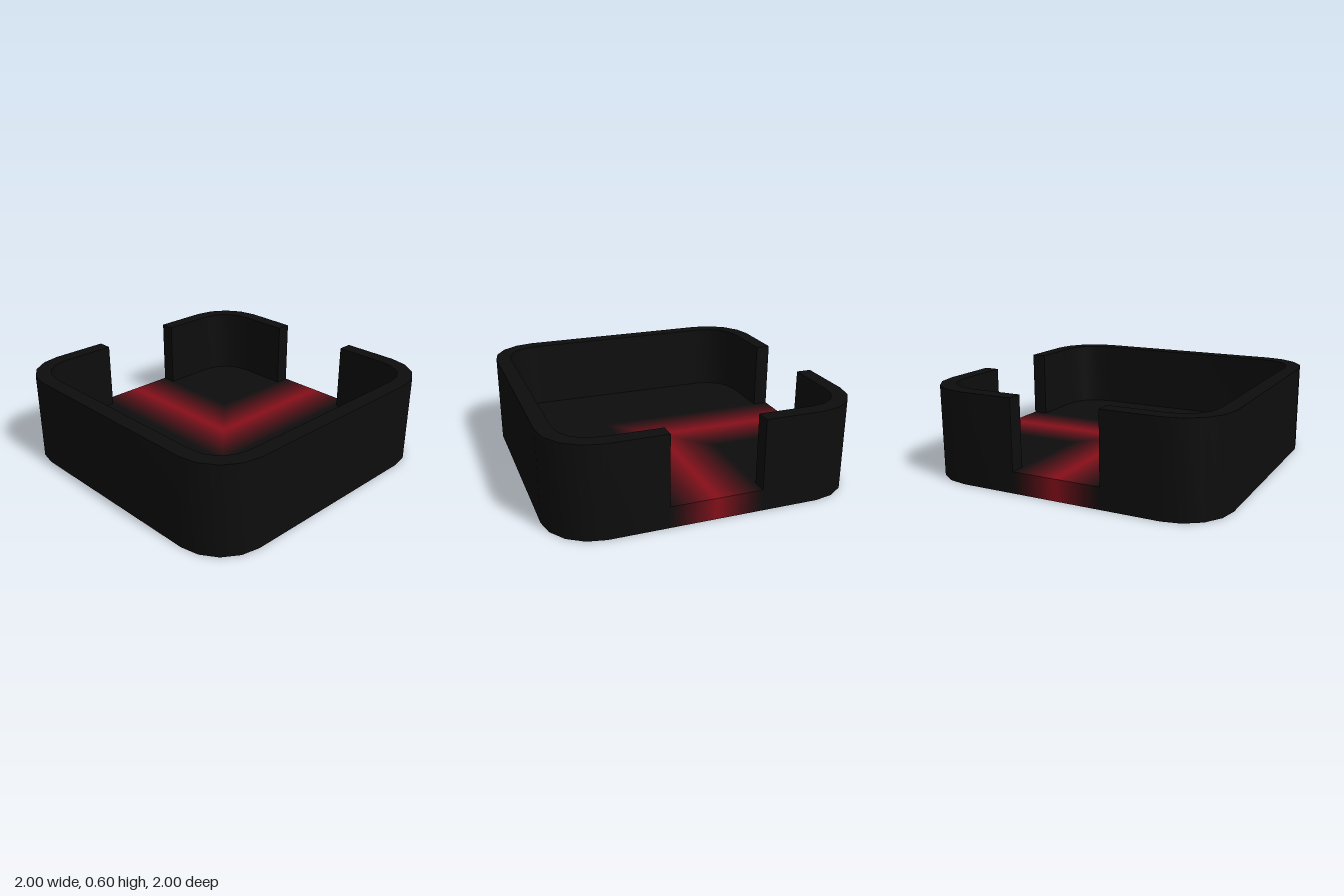
import * as THREE from 'three';
import { mergeGeometries, toCreasedNormals } from 'three/addons/utils/BufferGeometryUtils.js';

const HEIGHT = 0.6, FLOOR = 0.14, INNER = 0.9, GAP = 0.3;
const BLACK = [0x0d, 0x0d, 0x0d], RED = [0x8a, 0x0f, 0x1a];

// Corner profiles of the tray; plan coordinates are (x, -z)
const OUTER_CORNER = [[1, 0.68], [0.975, 0.8], [0.905, 0.905], [0.8, 0.975], [0.68, 1]];
const INNER_CORNER = [[0.9, 0.66], [0.882, 0.757], [0.834, 0.834], [0.757, 0.882], [0.66, 0.9]];

// Corner points turned by a number of quarter turns
function corner(points, turns) {
  let p = points;
  for (let i = 0; i < turns; i++) p = p.map(([x, y]) => [-y, x]);
  return p;
}

const toShape = (pts) => new THREE.Shape(pts.map(([x, y]) => new THREE.Vector2(x, y)));

// Mix of black and red, 0 to 1
function material(t) {
  const c = BLACK.map((b, i) => (b + (RED[i] - b) * t) / 255);
  const color = new THREE.Color().setRGB(c[0], c[1], c[2], THREE.SRGBColorSpace);
  return new THREE.MeshStandardMaterial({ color, side: THREE.DoubleSide });
}

function flat(pts) {
  return new THREE.ShapeGeometry(toShape(pts)).rotateX(-Math.PI / 2).translate(0, FLOOR, 0);
}

export function createModel() {
  const model = new THREE.Group();
  const black = material(0);
  const add = (name, geometry, mat = black) => {
    const mesh = new THREE.Mesh(geometry, mat);
    mesh.name = name;
    model.add(mesh);
  };

  // Walls: one short corner piece and one long piece around three corners
  const wall = (outer, inner) => {
    const g = new THREE.ExtrudeGeometry(toShape([...outer, ...inner.reverse()]), { depth: HEIGHT, bevelEnabled: false });
    return toCreasedNormals(g.rotateX(-Math.PI / 2), 0.7);
  };
  const run = (profile, edge, turns, start, end) =>
    [start(edge), ...turns.flatMap((t) => corner(profile, t)), end(edge)];
  const shortRun = (profile, edge) => run(profile, edge, [0], (e) => [e, GAP], (e) => [GAP, e]);
  const longRun = (profile, edge) => run(profile, edge, [1, 2, 3], (e) => [-GAP, e], (e) => [e, -GAP]);
  add('cornerWall', wall(shortRun(OUTER_CORNER, 1), shortRun(INNER_CORNER, INNER)));
  add('longWall', wall(longRun(OUTER_CORNER, 1), longRun(INNER_CORNER, INNER)));

  // Raised floor sheet on both sides of the coloured path
  add('cornerFloor', flat([...shortRun(INNER_CORNER, INNER), [GAP, GAP]]));
  add('mainFloor', flat([...longRun(INNER_CORNER, INNER), [-GAP, -GAP]]));

  // L-shaped path fading from red to black, with a solid sill in each gap
  const path = new THREE.Group();
  path.name = 'path';
  const bands = 30, step = (2 * GAP) / bands, sill = 1 - INNER;
  for (let i = 0; i < bands; i++) {
    const a = -GAP + i * step, b = a + step, mid = (a + b) / 2;
    const geometry = mergeGeometries([
      flat([[a, a], [INNER, a], [INNER, b], [b, b], [b, INNER], [a, INNER]]),
      new THREE.BoxGeometry(step, FLOOR, sill).translate(mid, FLOOR / 2, -INNER - sill / 2),
      new THREE.BoxGeometry(sill, FLOOR, step).translate(INNER + sill / 2, FLOOR / 2, -mid),
    ]);
    const band = new THREE.Mesh(geometry, material(1 - Math.abs(mid) / GAP));
    band.name = 'pathBand';
    path.add(band);
  }
  model.add(path);
  return model;
}
